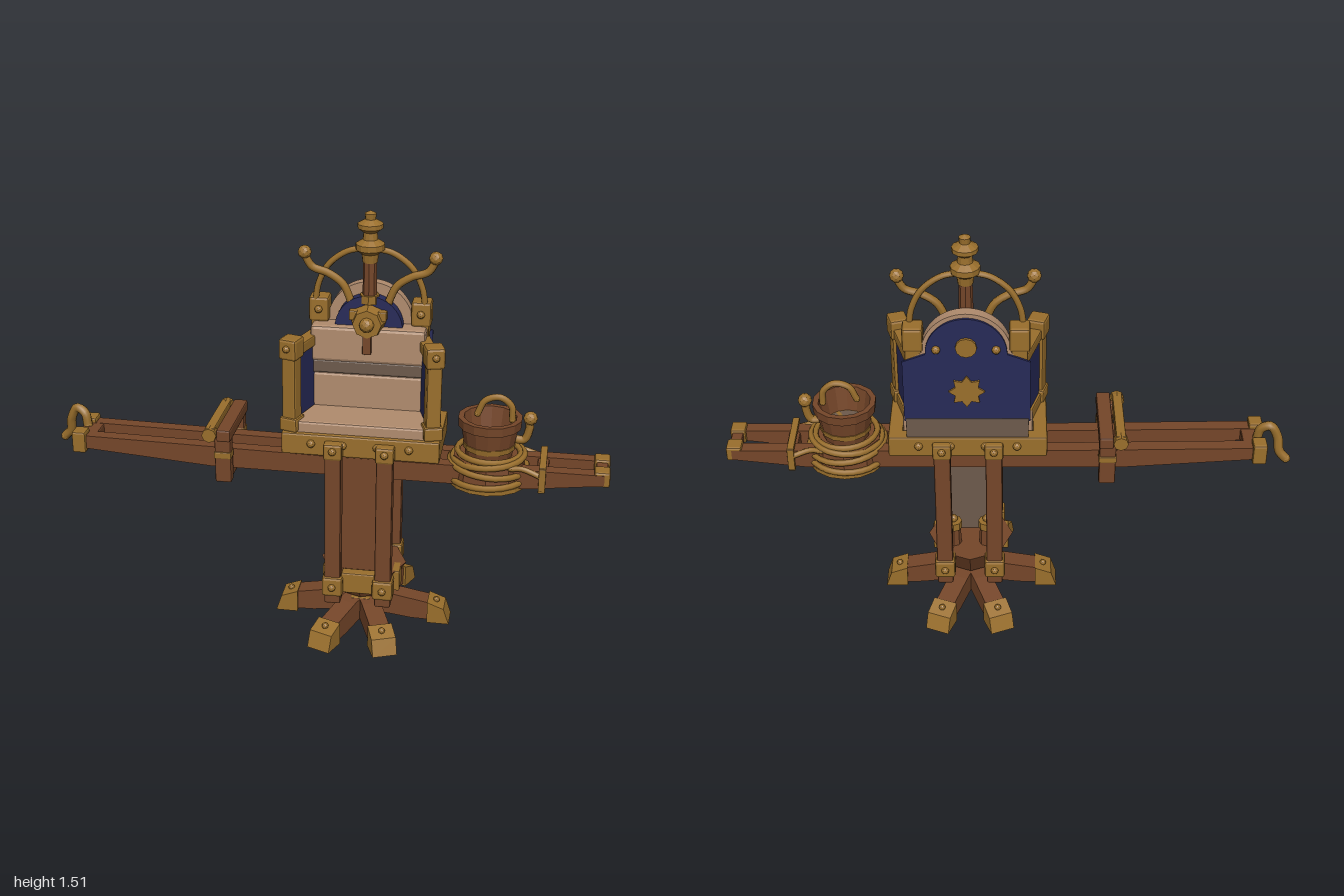
import * as THREE from 'three';
import { RoundedBoxGeometry } from 'three/addons/geometries/RoundedBoxGeometry.js';

const paint = (name, color, side = THREE.FrontSide) => {
  const m = new THREE.MeshStandardMaterial({ color, side });
  m.name = name;
  return m;
};

export function createModel() {
  const wood = paint('wood', 0x754629);
  const gold = paint('aged brass', 0x9a6f2c);
  const blue = paint('blue cloth', 0x272a58);
  const tan = paint('tan padding', 0xb18c6e);
  const taupe = paint('worn lining', 0x6d5a4c);
  const CX = 0.145; // centre line of stand and chair
  const root = new THREE.Group();
  root.name = 'balanceChair';

  // Faceted mesh helper
  function add(name, geo, mat, x = 0, y = 0, z = 0, parent = root) {
    const g = geo.index ? geo.toNonIndexed() : geo;
    g.computeVertexNormals();
    const m = new THREE.Mesh(g, mat);
    m.name = name;
    m.position.set(x, y, z);
    parent.add(m);
    return m;
  }
  const block = (name, mat, w, h, d, x, y, z, parent) =>
    add(name, new RoundedBoxGeometry(w, h, d, 1, Math.min(w, h, d) * 0.14), mat, x, y, z, parent);
  const drum = (name, mat, rt, rb, h, x, y, z, sides = 10, parent = root) =>
    add(name, new THREE.CylinderGeometry(rt, rb, h, sides), mat, x, y, z, parent);
  const ball = (name, mat, r, x, y, z, parent) =>
    add(name, new THREE.IcosahedronGeometry(r, 1), mat, x, y, z, parent);
  // Smooth bent rod
  function rod(name, mat, pts, r, parent = root) {
    const curve = new THREE.CatmullRomCurve3(pts.map(p => new THREE.Vector3(...p)));
    const m = new THREE.Mesh(new THREE.TubeGeometry(curve, 28, r, 7), mat);
    m.name = name;
    parent.add(m);
    const a = pts[0], b = pts[pts.length - 1];
    ball(name + 'End', mat, r, ...a, parent);
    ball(name + 'End', mat, r, ...b, parent);
  }
  // Side profile extruded symmetrically in z
  function slab(pts, d) {
    const s = new THREE.Shape(pts.map(p => new THREE.Vector2(...p)));
    return new THREE.ExtrudeGeometry(s, { depth: d, bevelEnabled: false }).translate(0, 0, -d / 2);
  }

  // Six splayed feet
  for (const deg of [0, 68, 112, 180, 248, 292]) {
    const leg = new THREE.Group();
    leg.name = 'foot';
    leg.position.x = CX;
    leg.rotation.y = THREE.MathUtils.degToRad(deg);
    root.add(leg);
    add('footBeam', slab([[0, 0.03], [0.1, 0.02], [0.18, 0.01], [0.26, 0.008], [0.26, 0.075], [0.12, 0.1], [0, 0.11]], 0.07), wood, 0, 0, 0, leg);
    add('footCap', slab([[0.24, 0], [0.32, 0], [0.3, 0.06], [0.24, 0.083]], 0.088), gold, 0, 0, 0, leg);
    ball('footBolt', gold, 0.012, 0.27, 0.075, 0, leg);
  }

  // Hub above the feet
  drum('footHub', wood, 0.075, 0.085, 0.1, CX, 0.06, 0, 8);
  drum('hubBowl', wood, 0.155, 0.09, 0.11, CX, 0.165, 0, 8);
  block('hubBand', gold, 0.12, 0.08, 0.04, CX, 0.2, 0.135);
  block('hubFoot', gold, 0.07, 0.07, 0.04, CX, 0.07, 0.07);
  for (const s of [-1, 1]) {
    block('hubSidePlate', gold, 0.03, 0.08, 0.07, CX + s * 0.125, 0.18, 0.04);
    drum('pegStem', wood, 0.024, 0.028, 0.1, CX + s * 0.06, 0.26, -0.05, 8);
    drum('pegCap', gold, 0.03, 0.03, 0.03, CX + s * 0.06, 0.305, -0.05, 8);
    ball('pegTip', gold, 0.015, CX + s * 0.06, 0.33, -0.05);
  }

  // Upright posts and central board
  for (const sx of [-1, 1]) for (const sz of [-1, 1]) {
    const x = CX + sx * 0.09, z = sz * 0.145;
    block('post', wood, 0.058, 0.62, 0.05, x, 0.43, z);
    block('postShoe', gold, 0.074, 0.075, 0.068, x, 0.19, z);
    ball('postBolt', gold, 0.014, x, 0.19, sz * 0.18);
    block('postHead', gold, 0.066, 0.06, 0.058, x, 0.715, z);
    ball('postHeadBolt', gold, 0.014, x, 0.72, sz * 0.175);
  }
  block('centreBoard', wood, 0.2, 0.56, 0.046, CX, 0.42, 0.06);
  block('centreBoardLining', taupe, 0.18, 0.5, 0.008, CX, 0.44, 0.034);

  // Long double beam
  for (const s of [-1, 1]) {
    const pts = [[-0.88, 0.625], [-0.4, 0.59], [0.72, 0.59], [0.98, 0.622], [0.98, 0.66], [0, 0.66], [-0.88, 0.672]];
    add('beamRail', slab(pts, 0.048), wood, 0, 0, s * 0.06);
    block('beamCapLeft', gold, 0.05, 0.08, 0.06, -0.88, 0.648, s * 0.066);
    block('beamCapRight', gold, 0.055, 0.056, 0.06, 0.972, 0.643, s * 0.053);
  }
  block('beamEndLeft', wood, 0.07, 0.045, 0.12, -0.86, 0.648, 0);
  block('beamEndRight', wood, 0.04, 0.036, 0.1, 0.972, 0.643, 0);
  block('beamInnerStop', wood, 0.04, 0.05, 0.1, 0.77, 0.63, 0);
  rod('tailHook', gold, [[-0.98, 0.605, -0.05], [-0.955, 0.635, -0.045], [-0.945, 0.69, -0.035], [-0.92, 0.73, -0.03], [-0.888, 0.715, -0.02], [-0.878, 0.67, -0.015]], 0.017);

  // Sliding yoke on the left of the beam
  for (const s of [-1, 1]) {
    block('yokePlate', wood, 0.058, 0.19, 0.04, -0.342, 0.645, s * 0.108);
    block('yokeFoot', gold, 0.062, 0.025, 0.046, -0.342, 0.655, s * 0.11);
    drum('yokeKnob', gold, 0.026, 0.026, 0.035, -0.385, 0.735, s * 0.13, 8).rotation.x = Math.PI / 2;
  }
  block('yokeBar', gold, 0.034, 0.05, 0.27, -0.385, 0.735, 0);
  block('yokeBrace', wood, 0.05, 0.045, 0.29, -0.335, 0.735, 0);
  block('yokeKeel', wood, 0.05, 0.03, 0.24, -0.342, 0.57, 0);

  // Chair base frame
  for (const s of [-1, 1]) {
    block('seatRail', gold, 0.55, 0.08, 0.05, CX, 0.725, s * 0.12 - 0.005);
    block('seatEndRail', gold, 0.05, 0.08, 0.26, CX + s * 0.25, 0.725, -0.005);
    for (const x of [-0.17, -0.06, 0.06, 0.17]) ball('railBolt', gold, 0.015, CX + x, 0.73, s * 0.145 - 0.005);
  }
  block('seatBoard', wood, 0.48, 0.05, 0.24, CX, 0.705, 0);
  block('seatCushion', tan, 0.45, 0.06, 0.22, CX, 0.775, 0.015);

  // Flared arms with blue panels
  for (const s of [-1, 1]) {
    const arm = new THREE.Group();
    arm.name = 'arm';
    arm.position.set(CX + s * 0.212, 0, 0);
    arm.rotation.y = s * 0.3;
    root.add(arm);
    block('armFrontPost', gold, 0.052, 0.36, 0.052, 0, 0.91, 0.105, arm);
    block('armFrontCap', gold, 0.066, 0.075, 0.07, 0, 1.065, 0.105, arm);
    block('armFrontShoe', gold, 0.066, 0.05, 0.066, 0, 0.79, 0.105, arm);
    block('armTopRail', gold, 0.045, 0.04, 0.2, 0, 1.05, 0, arm);
    block('armLowRail', gold, 0.045, 0.05, 0.2, 0, 0.78, 0, arm);
    block('armPanel', blue, 0.028, 0.25, 0.17, 0, 0.91, 0, arm);
    ball('armBolt', gold, 0.013, 0, 1.07, 0.142, arm);
    // Rear posts
    block('backPost', gold, 0.056, 0.42, 0.06, CX + s * 0.178, 0.93, -0.1);
    block('backPostCap', gold, 0.07, 0.09, 0.072, CX + s * 0.178, 1.148, -0.1);
    ball('backPostBolt', gold, 0.014, CX + s * 0.178, 1.15, -0.062);
  }

  // Rounded back with blue cloth behind
  function backPanel(name, mat, w, y0, r, depth, z) {
    const sh = new THREE.Shape();
    sh.moveTo(-w, y0);
    sh.lineTo(w, y0);
    sh.lineTo(w, 1.07);
    sh.lineTo(r, 1.1);
    sh.absarc(0, 1.1, r, 0, Math.PI, false);
    sh.lineTo(-w, 1.07);
    sh.closePath();
    add(name, new THREE.ExtrudeGeometry(sh, { depth, bevelEnabled: false, curveSegments: 16 }), mat, CX, 0, z);
  }
  backPanel('backBoard', tan, 0.2, 0.76, 0.15, 0.04, -0.13);
  backPanel('backCloth', blue, 0.215, 0.83, 0.137, 0.008, -0.141);
  block('backHem', taupe, 0.42, 0.08, 0.012, CX, 0.8, -0.137);
  drum('backMedallion', gold, 0.036, 0.036, 0.012, CX, 1.13, -0.145, 12).rotation.x = Math.PI / 2;
  const star = [];
  for (let i = 0; i < 16; i++) {
    const a = i * Math.PI / 8, r = i % 2 ? 0.042 : 0.062;
    star.push([r * Math.cos(a), r * Math.sin(a)]);
  }
  add('backStar', slab(star, 0.009), gold, CX, 0.955, -0.144);
  for (const s of [-1, 1]) ball('backStud', gold, 0.015, CX + s * 0.1, 1.12, -0.143);

  // Padded back rest
  block('lowerPad', tan, 0.4, 0.16, 0.07, CX, 0.85, -0.065);
  block('padFold', taupe, 0.41, 0.05, 0.076, CX, 0.955, -0.062);
  block('upperPad', tan, 0.4, 0.13, 0.085, CX, 1.04, -0.06);

  // Crest over the back rest
  const arch = new THREE.Shape();
  arch.absarc(0, 0, 0.118, 0, Math.PI, false);
  add('crestCloth', new THREE.ExtrudeGeometry(arch, { depth: 0.04, bevelEnabled: false }), blue, CX, 1.095, -0.085);
  drum('crestBoss', gold, 0.05, 0.062, 0.05, CX, 1.125, -0.025, 8).rotation.x = Math.PI / 2;
  ball('crestKnob', gold, 0.026, CX, 1.125, 0.003);
  for (const s of [-1, 1]) block('crestTab', gold, 0.03, 0.035, 0.03, CX + s * 0.05, 1.15, -0.03);
  block('crestPendant', wood, 0.03, 0.07, 0.02, CX, 1.05, -0.01);

  // Finial column
  drum('finialStem', wood, 0.023, 0.026, 0.24, CX, 1.25, -0.065, 8);
  drum('stemCollar', gold, 0.034, 0.034, 0.03, CX, 1.2, -0.065, 8);
  const profile = [[0, 1.33], [0.026, 1.33], [0.03, 1.36], [0.05, 1.375], [0.05, 1.395], [0.026, 1.41], [0.024, 1.435], [0.044, 1.45], [0.044, 1.465], [0.018, 1.48], [0.02, 1.5], [0, 1.51]];
  add('finial', new THREE.LatheGeometry(profile.map(p => new THREE.Vector2(...p)), 12), gold, CX, 0, -0.065);

  // Crown arches and horns
  for (const s of [-1, 1]) {
    const path = (pts, z) => pts.map(([x, y]) => [CX + s * x, y, z]);
    rod('crownArch', gold, path([[0.19, 1.18], [0.18, 1.24], [0.145, 1.31], [0.08, 1.36], [0.015, 1.375]], -0.075), 0.011);
    rod('crownHorn', gold, path([[0.055, 1.14], [0.07, 1.2], [0.095, 1.25], [0.145, 1.285], [0.2, 1.305], [0.225, 1.345]], -0.06), 0.014);
    ball('hornTip', gold, 0.024, CX + s * 0.225, 1.355, -0.06);
  }

  // Turntable, rope coils and pail
  const BX = 0.58;
  drum('turntable', wood, 0.125, 0.137, 0.09, BX, 0.635, 0, 10);
  drum('turntableBase', gold, 0.143, 0.143, 0.016, BX, 0.588, 0, 16);
  [[0.605, 0.138, 0.03], [0.645, 0.135, -0.08], [0.675, 0.125, 0.07], [0.69, 0.11, -0.03]].forEach(([y, r, tilt]) => {
    const t = new THREE.Mesh(new THREE.TorusGeometry(r, 0.011, 6, 28), gold);
    t.name = 'ropeCoil';
    t.position.set(BX, y, 0);
    t.rotation.set(Math.PI / 2, tilt, 0);
    root.add(t);
  });
  for (const s of [-1, 1]) {
    rod('ropeLead', gold, [[BX + 0.08, 0.67, s * 0.1], [0.7, 0.665, s * 0.085], [0.77, 0.64, s * 0.09]], 0.01);
    block('clampSide', gold, 0.024, 0.085, 0.016, 0.77, 0.632, s * 0.092);
  }
  block('clampTop', gold, 0.024, 0.016, 0.19, 0.77, 0.67, 0);
  block('clampBottom', gold, 0.024, 0.016, 0.19, 0.77, 0.59, 0);

  const pail = [[0, 0.68], [0.082, 0.68], [0.1, 0.785], [0.11, 0.785], [0.112, 0.818], [0.092, 0.818], [0.075, 0.72], [0, 0.72]];
  add('pail', new THREE.LatheGeometry(pail.map(p => new THREE.Vector2(...p)), 14), wood, BX, 0, 0);
  drum('pailLining', taupe, 0.074, 0.074, 0.006, BX, 0.722, 0, 14);
  drum('pailHoop', gold, 0.093, 0.09, 0.02, BX, 0.715, 0, 14);
  rod('pailHandle', gold, [[BX + 0.075, 0.81, 0], [BX + 0.07, 0.86, 0], [BX + 0.03, 0.89, 0], [BX - 0.02, 0.875, 0], [BX - 0.045, 0.825, 0]], 0.012);
  rod('pailSpout', gold, [[BX + 0.08, 0.74, 0], [BX + 0.12, 0.74, 0], [BX + 0.135, 0.78, 0], [BX + 0.135, 0.81, 0]], 0.015);
  ball('spoutTip', gold, 0.025, BX + 0.137, 0.82, 0);

  return root;
}
